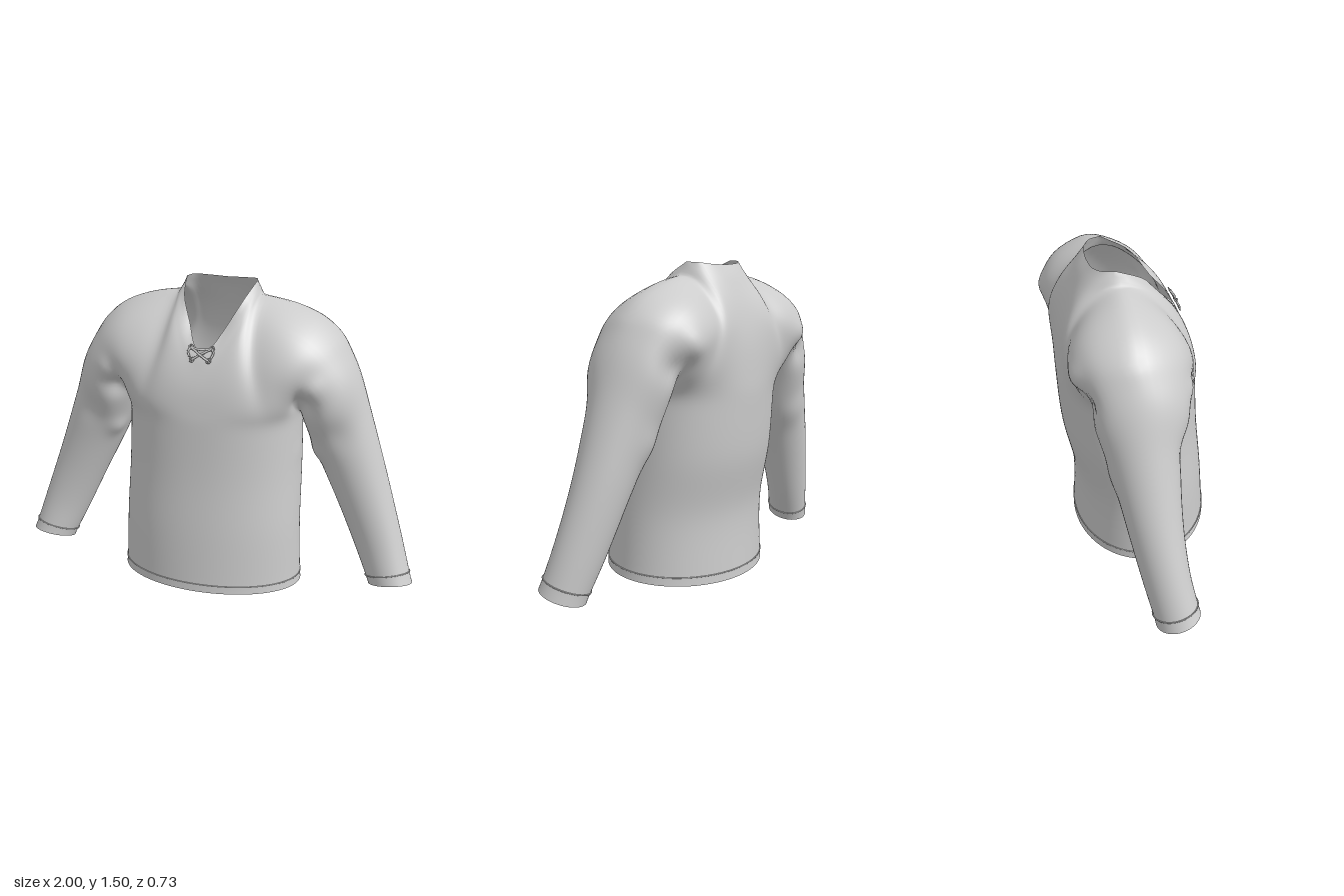
import * as THREE from 'three';
import { mergeVertices } from 'three/addons/utils/BufferGeometryUtils.js';

const V = (x, y, z) => new THREE.Vector3(x, y, z);
const curve = (...pts) => new THREE.CatmullRomCurve3(pts.map((p) => V(...p)));
const smooth = (t) => t * t * (3 - 2 * t);
const COLS = 28, ROWS = 22, NECK = 0.5; // NECK: share of the columns that end at the collar

// Key points shared by neighbouring panels
const PIT = [0.418, 0.92, -0.031], TIP = [0.6, 1.295, -0.1], NECKSIDE = [0.205, 1.462, -0.09];
const shoulder = curve(NECKSIDE, [0.3, 1.445, -0.095], [0.4, 1.418, -0.1], [0.51, 1.37, -0.1], TIP);
const bodyFront = curve([0, 0, 0.365], [0, 0.3, 0.342], [0, 0.6, 0.312], [0, 0.92, 0.293]);
const bodyBack = curve([0, 0, -0.29], [0, 0.2, -0.28], [0, 0.6, -0.335], [0, 0.92, -0.355]);

// Per side: centre line, armhole edge, collar seam and collar rim
const sides = {
  front: {
    body: bodyFront,
    centre: curve([0, 0.92, 0.293], [0, 1.06, 0.268], [0, 1.19, 0.222]),
    armhole: curve(PIT, [0.425, 1.0, 0.1], [0.46, 1.11, 0.16], [0.53, 1.225, 0.1], TIP),
    seam: curve([0, 1.19, 0.222], [0.07, 1.24, 0.195], [0.13, 1.33, 0.13], [0.18, 1.42, 0.035], NECKSIDE),
    rim: curve([0, 1.21, 0.207], [0.045, 1.26, 0.175], [0.085, 1.33, 0.11], [0.14, 1.435, 0.03], [0.172, 1.505, -0.1]),
  },
  back: {
    body: bodyBack,
    centre: curve([0, 0.92, -0.355], [0, 1.15, -0.338], [0, 1.3, -0.3], [0, 1.445, -0.235]),
    armhole: curve(PIT, [0.42, 1.0, -0.22], [0.435, 1.13, -0.325], [0.53, 1.235, -0.28], TIP),
    seam: curve([0, 1.445, -0.235], [0.09, 1.448, -0.228], [0.165, 1.457, -0.19], NECKSIDE),
    rim: curve([0, 1.49, -0.2], [0.1, 1.495, -0.19], [0.155, 1.503, -0.155], [0.172, 1.505, -0.1]),
  },
};

// Lower body: oval section from the tilted hem (t = 0) to the armpit (t = 1)
function torso(side, u, t) {
  const zMid = (bodyFront.getPoint(t).z + bodyBack.getPoint(t).z) / 2;
  const a = u * Math.PI / 2;
  const power = 1 - 0.12 * t;
  const z = zMid + (side.body.getPoint(t).z - zMid) * Math.pow(Math.max(Math.cos(a), 0), power);
  const w = 0.45 - 0.032 * Math.pow(t, 0.8);
  const hemY = 0.046 + (z - 0.04) * 0.115;
  return V(w * Math.pow(Math.sin(a), power), THREE.MathUtils.lerp(hemY, 0.92, t), z);
}

// Chest and shoulder panel: patch between armpit line, armhole, centre line and top edge
function yoke(side, u, w) {
  const top = (s) => (s <= NECK ? side.seam.getPoint(s / NECK) : shoulder.getPoint((s - NECK) / (1 - NECK)));
  const h = smooth(w), k = smooth(u);
  const mix = (a, b, t) => a.clone().lerp(b, t);
  const corners = mix(
    mix(side.centre.getPoint(0), side.armhole.getPoint(0), k),
    mix(side.centre.getPoint(1), side.armhole.getPoint(1), k), h);
  return mix(torso(side, u, 1), top(u), h)
    .add(mix(side.centre.getPoint(w), side.armhole.getPoint(w), k)).sub(corners);
}

// Sleeve stations: inner x, y, outer x, y, front z, back z, tilt
const stations = [
  [0.455, 0.8, 0.672, 1.13, 0.135, -0.285, 0],
  [0.505, 0.675, 0.74, 0.93, 0.085, -0.24, 0],
  [0.61, 0.46, 0.84, 0.62, 0.068, -0.19, 0],
  [0.715, 0.235, 0.93, 0.34, 0.08, -0.135, 0.02],
  [0.79, 0.08, 1.0, 0.112, 0.113, -0.09, 0.03],
];
const sleeveLines = [];
for (let i = 0; i <= 2 * ROWS; i++) {
  const a = i / ROWS * Math.PI, c = -Math.cos(a), s = Math.sin(a);
  const start = i <= ROWS ? sides.front.armhole.getPoint(i / ROWS) : sides.back.armhole.getPoint(2 - i / ROWS);
  sleeveLines.push(new THREE.CatmullRomCurve3([start, ...stations.map(([ix, iy, ox, oy, zf, zb, tilt]) =>
    V((ix + ox) / 2 + c * (ox - ix) / 2, (iy + oy) / 2 + c * (oy - iy) / 2 + s * tilt, (zf + zb) / 2 + s * (zf - zb) / 2))]));
}
const sleeve = (u, v) => sleeveLines[Math.round(u * 2 * ROWS)].getPoint(v);

// Soft cloth folds around the armpits: position, radius, height
const folds = [
  [V(0.465, 1.0, 0.1), 0.055, -0.035], [V(0.5, 1.08, 0.14), 0.05, 0.015],
  [V(0.42, 1.15, -0.335), 0.06, 0.022], [V(0.5, 1.06, -0.29), 0.06, -0.03],
  [V(0.49, 0.73, 0.03), 0.05, 0.02], [V(0.62, 0.85, 0.1), 0.08, -0.012],
  [V(0.57, 0.72, -0.22), 0.08, 0.015],
];

// Pulls inner vertices towards their neighbours; open edges stay put
function relax(geo, passes) {
  const pos = geo.attributes.position, idx = geo.index.array;
  const near = Array.from({ length: pos.count }, () => new Map());
  const link = (a, b) => {
    near[a].set(b, (near[a].get(b) || 0) + 1);
    near[b].set(a, (near[b].get(a) || 0) + 1);
  };
  for (let i = 0; i < idx.length; i += 3) for (let j = 0; j < 3; j++) link(idx[i + j], idx[i + (j + 1) % 3]);
  const fixed = near.map((m) => [...m.values()].some((n) => n === 1));
  for (let p = 0; p < passes; p++) {
    const old = near.map((_, i) => V().fromBufferAttribute(pos, i));
    near.forEach((m, i) => {
      if (fixed[i] || !m.size) return;
      const sum = V(0, 0, 0);
      for (const j of m.keys()) sum.add(old[j]);
      sum.divideScalar(m.size).lerp(old[i], 0.5);
      pos.setXYZ(i, sum.x, sum.y, sum.z);
    });
  }
}

export function createModel() {
  const group = new THREE.Group();
  group.name = 'laceUpJersey';
  const cloth = new THREE.MeshStandardMaterial({ color: 0xcccccc, side: THREE.DoubleSide, roughness: 0.9 });
  const add = (name, geo) => {
    const mesh = new THREE.Mesh(geo, cloth);
    mesh.name = name;
    group.add(mesh);
  };

  // Collect every cloth panel in one welded surface so that shading runs across seams
  const positions = [], index = [], parts = {};
  function grid(name, fn, nu, nv, sx, flip) {
    const base = positions.length / 3, list = (parts[name] ??= []);
    for (let j = 0; j <= nv; j++) for (let i = 0; i <= nu; i++) {
      const p = fn(i / nu, j / nv);
      positions.push(p.x * sx, p.y, p.z);
    }
    for (let j = 0; j < nv; j++) for (let i = 0; i < nu; i++) {
      const a = base + j * (nu + 1) + i, b = a + 1, c = a + nu + 1, d = c + 1;
      list.push(index.length);
      if (flip !== sx < 0) index.push(a, d, b, a, c, d);
      else index.push(a, b, d, a, d, c);
    }
  }
  const HEM = 0.045, CUFF = 0.95;
  for (const sx of [1, -1]) {
    const hand = sx > 0 ? 'left' : 'right';
    for (const [key, side] of Object.entries(sides)) {
      const flip = key === 'back';
      grid('hem', (u, v) => torso(side, u, v * HEM), COLS, 2, sx, flip);
      grid(key + 'Panel', (u, v) => torso(side, u, HEM + v * (1 - HEM)), COLS, 36, sx, flip);
      grid(key + 'Panel', (u, v) => yoke(side, u, v), COLS, ROWS, sx, flip);
      grid('collar', (u, v) => side.seam.getPoint(u).lerp(side.rim.getPoint(u), v), COLS * NECK, 3, sx, flip);
    }
    grid(hand + 'Sleeve', (u, v) => sleeve(u, v * CUFF), 2 * ROWS, 44, sx, true);
    grid(hand + 'Cuff', (u, v) => sleeve(u, CUFF + v * (1 - CUFF)), 2 * ROWS, 2, sx, true);
  }
  let geo = new THREE.BufferGeometry();
  geo.setAttribute('position', new THREE.Float32BufferAttribute(positions, 3));
  geo.setIndex(index);
  geo = mergeVertices(geo, 1e-4);
  relax(geo, 6);
  geo.computeVertexNormals();

  // Push the folds in and out
  const pos = geo.attributes.position, nor = geo.attributes.normal;
  for (let i = 0; i < pos.count; i++) {
    const p = V().fromBufferAttribute(pos, i), n = V().fromBufferAttribute(nor, i);
    const q = V(Math.abs(p.x), p.y, p.z);
    let push = 0;
    for (const [c, r, h] of folds) push += h * Math.exp(-q.distanceToSquared(c) / (r * r));
    p.addScaledVector(n, push);
    pos.setXYZ(i, p.x, p.y, p.z);
  }
  geo.computeVertexNormals();

  // Split the surface into named parts, keeping the shared normals
  for (const [name, starts] of Object.entries(parts)) {
    const part = geo.clone();
    part.setIndex(starts.flatMap((s) => Array.from(geo.index.array.slice(s, s + 6))));
    add(name, part.toNonIndexed());
  }

  // Stitch lines above the hem and cuffs
  const tube = (name, pts, r, closed, seg) =>
    add(name, new THREE.TubeGeometry(new THREE.CatmullRomCurve3(pts, closed), seg, r, 6, closed));
  const ring = [];
  for (let i = 0; i < 64; i++) {
    const a = i / 64 * Math.PI * 2, s = Math.sin(a);
    const p = torso(Math.cos(a) >= 0 ? sides.front : sides.back, Math.asin(Math.min(Math.abs(s), 1)) / (Math.PI / 2), HEM);
    ring.push(V(Math.sign(s) * p.x, p.y, p.z));
  }
  tube('hemStitch', ring, 0.003, true, 96);
  for (const sx of [1, -1]) {
    const loop = sleeveLines.slice(0, -1).map((c) => c.getPoint(CUFF)).map((p) => V(p.x * sx, p.y, p.z));
    tube('cuffStitch', loop, 0.003, true, 64);
  }

  // Lacing across the neck opening: eyelets, crossed cords, bar and loose ends
  for (const sx of [1, -1]) {
    for (const [x, y, z] of [[0.05, 1.252, 0.202], [0.04, 1.2, 0.226]]) {
      const eyelet = new THREE.TorusGeometry(0.009, 0.004, 6, 14);
      eyelet.rotateX(-0.45).translate(x * sx, y, z);
      add('eyelet', eyelet);
    }
    tube('crossedLace', [V(-0.05 * sx, 1.252, 0.203), V(0, 1.226, 0.222 + 0.004 * sx), V(0.04 * sx, 1.2, 0.228)], 0.0055, false, 12);
    tube('laceEnd', [V(0.05 * sx, 1.252, 0.203), V(0.06 * sx, 1.235, 0.215), V(0.05 * sx, 1.212, 0.225)], 0.005, false, 10);
  }
  tube('laceBar', [V(-0.05, 1.252, 0.203), V(0, 1.246, 0.212), V(0.05, 1.252, 0.203)], 0.0055, false, 12);
  return group;
}
